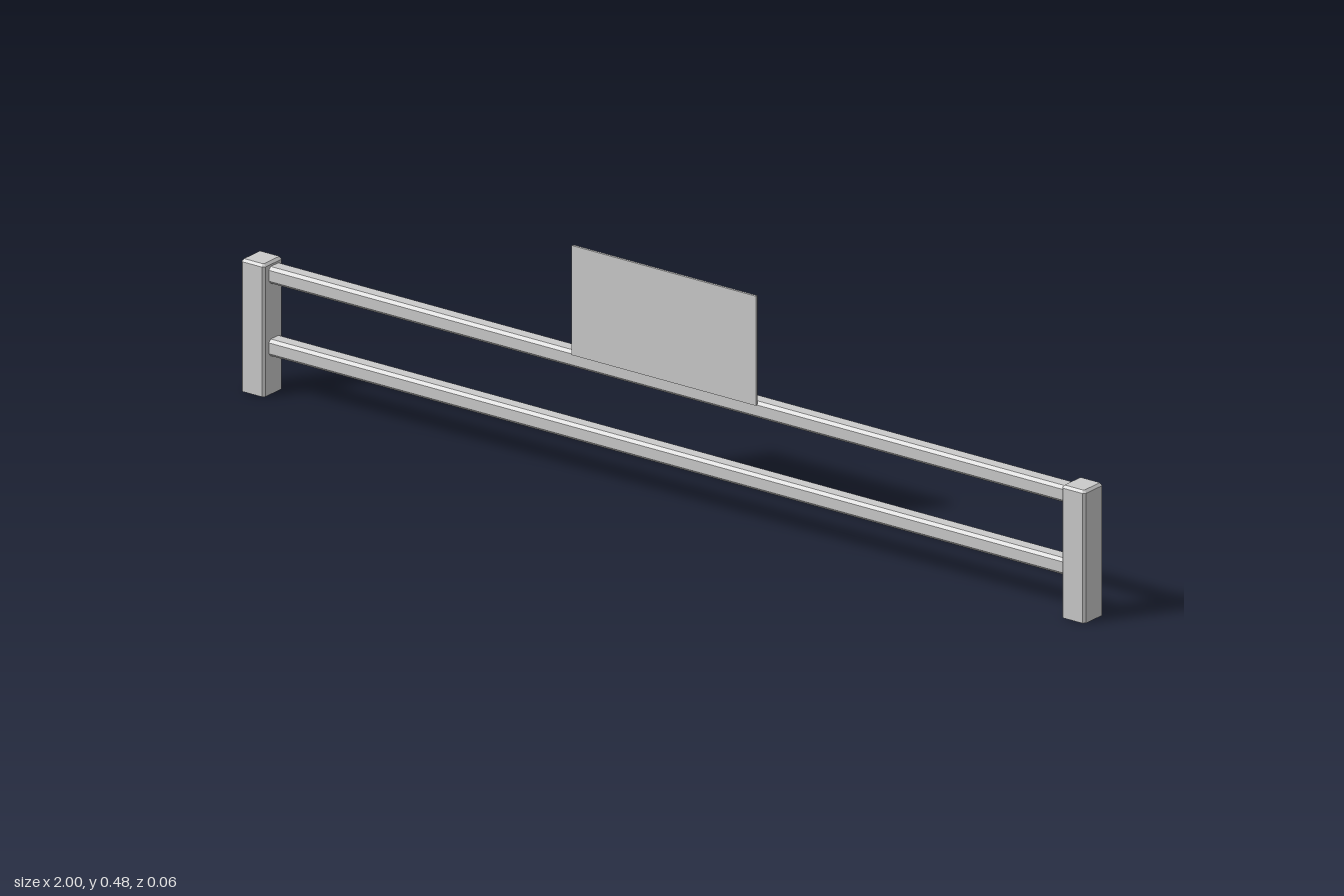
import * as THREE from 'three';

const material = new THREE.MeshStandardMaterial({ color: 0xcccccc, flatShading: true, side: THREE.DoubleSide });

// Rectangle with cut corners, counter-clockwise
function chamferedRect(w, h, c) {
  const a = w / 2, b = h / 2;
  return [
    [a, -b + c], [a, b - c], [a - c, b], [-a + c, b],
    [-a, b - c], [-a, -b + c], [-a + c, -b], [a - c, -b],
  ];
}

// Joins cross-sections along z; each ring is { z, pts }. Caps are optional.
function loft(rings, capStart, capEnd) {
  const pos = [], index = [], n = rings[0].pts.length;
  for (const { z, pts } of rings) for (const [x, y] of pts) pos.push(x, y, z);
  for (let r = 0; r < rings.length - 1; r++) {
    for (let i = 0; i < n; i++) {
      const a = r * n + i, b = r * n + (i + 1) % n;
      index.push(a, b, b + n, a, b + n, a + n);
    }
  }
  const last = (rings.length - 1) * n;
  for (let i = 1; i < n - 1; i++) {
    if (capStart) index.push(0, i + 1, i);
    if (capEnd) index.push(last, last + i, last + i + 1);
  }
  const g = new THREE.BufferGeometry();
  g.setAttribute('position', new THREE.Float32BufferAttribute(pos, 3));
  g.setIndex(index);
  const flat = g.toNonIndexed();
  flat.computeVertexNormals();
  return flat;
}

export function createModel() {
  const model = new THREE.Group();
  const add = (name, geometry, x, y, z) => {
    const mesh = new THREE.Mesh(geometry, material);
    mesh.name = name;
    mesh.position.set(x, y, z);
    model.add(mesh);
  };

  // End posts: hollow, open at the foot, bevelled at the top
  const postW = 0.056, postD = 0.06, postH = 0.268, cut = 0.005;
  const post = loft([
    { z: 0, pts: chamferedRect(postW, postD, cut) },
    { z: postH - cut, pts: chamferedRect(postW, postD, cut) },
    { z: postH, pts: chamferedRect(postW - 2 * cut, postD - 2 * cut, cut * 0.5) },
  ], false, true).rotateX(-Math.PI / 2);
  add('leftPost', post, 1 - postW / 2, 0, 0);
  add('rightPost', post, -1 + postW / 2, 0, 0);

  // Two horizontal rails with chamfered edges, running between the posts
  const half = 1 - postW + 0.002;
  const section = chamferedRect(0.036, 0.034, 0.006);
  const rail = loft([{ z: -half, pts: section }, { z: half, pts: section }], false, false)
    .rotateY(Math.PI / 2);
  add('upperRail', rail, 0, 0.242, -0.003);
  add('lowerRail', rail, 0, 0.095, -0.003);

  // Thin sign panel on the front of the upper rail, back edges bevelled
  const panelW = 0.437, panelH = 0.222;
  const panel = loft([
    { z: -0.005, pts: chamferedRect(panelW - 0.008, panelH - 0.008, 0.001) },
    { z: 0, pts: chamferedRect(panelW, panelH, 0.001) },
    { z: 0.005, pts: chamferedRect(panelW, panelH, 0.001) },
  ], true, true);
  add('panel', panel, -0.002, 0.255 + panelH / 2, 0.0185);

  return model;
}
